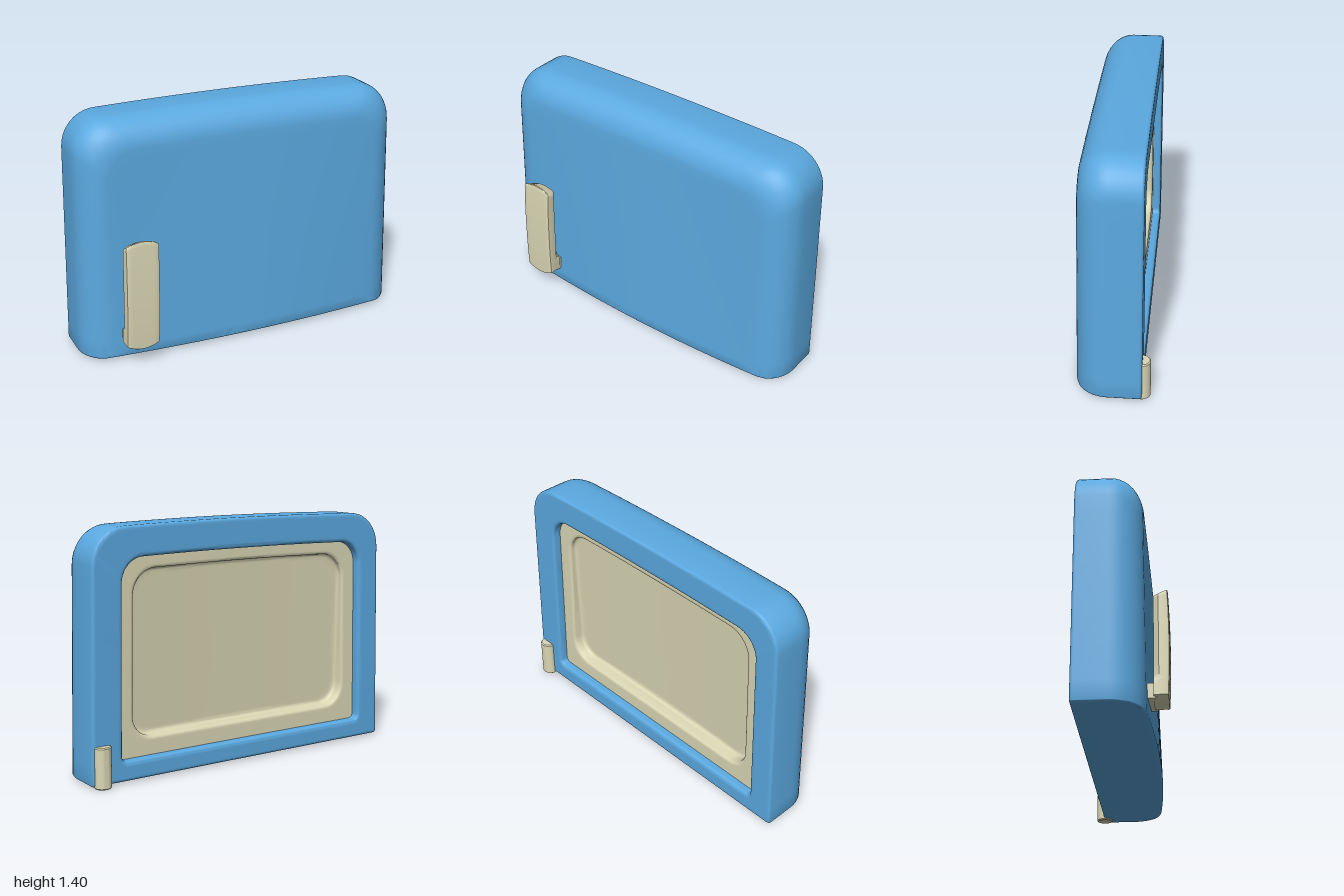
import * as THREE from 'three';
import { toCreasedNormals } from 'three/addons/utils/BufferGeometryUtils.js';

const blue = new THREE.MeshStandardMaterial({ color: 0x5ba9e0 });
const cream = new THREE.MeshStandardMaterial({ color: 0xdad7b5 });

// Rounded outline, counter-clockwise from the bottom left; always the same point count.
function outline(w, bottom, top, r, rb, cx = 0) {
  const pts = [];
  const line = (x0, y0, x1, y1, n) => {
    for (let i = 0; i < n; i++) pts.push([x0 + (x1 - x0) * i / n, y0 + (y1 - y0) * i / n]);
  };
  const arc = (ax, ay, rad, start) => {
    for (let i = 0; i < 10; i++) {
      const a = start + (i / 10) * Math.PI / 2;
      pts.push([ax + rad * Math.cos(a), ay + rad * Math.sin(a)]);
    }
  };
  line(-w + rb, bottom, w - rb, bottom, 20);
  arc(w - rb, bottom + rb, rb, -Math.PI / 2);
  line(w, bottom + rb, w, top - r, 12);
  arc(w - r, top - r, r, 0);
  line(w - r, top, -w + r, top, 20);
  arc(-w + r, top - r, r, Math.PI / 2);
  line(-w, top - r, -w, bottom + rb, 12);
  arc(-w + rb, bottom + rb, rb, Math.PI);
  // Sides lean in and the top edge arches slightly.
  return pts.map(([x, y]) => [
    cx + x * (1 - 0.021 * y),
    y + 0.012 * (y / 1.4) * (1 - Math.min(1, x * x / 0.64)),
  ]);
}

const ring = (pts, zRule) => pts.map(([x, y]) => [x, y, typeof zRule === 'function' ? zRule(x, y) : zRule]);
const shrink = (pts, s) => pts.map(([x, y]) => [x * s, 0.7 + (y - 0.7) * s]);

// Skin a list of equal-length closed rings.
function loft(rings, crease) {
  const n = rings[0].length;
  const index = [];
  for (let i = 0; i < rings.length - 1; i++) {
    for (let j = 0; j < n; j++) {
      const a = i * n + j, b = i * n + (j + 1) % n;
      index.push(a, b, b + n, a, b + n, a + n);
    }
  }
  const g = new THREE.BufferGeometry();
  g.setAttribute('position', new THREE.Float32BufferAttribute(rings.flat(2), 3));
  g.setIndex(index);
  return toCreasedNormals(g, crease);
}

function part(name, geometry, material) {
  const m = new THREE.Mesh(geometry, material);
  m.name = name;
  return m;
}

const OPENING_X = -0.016;

// Outer shell: recess wall, flat back frame, rounded sides and bowed front.
function shell() {
  const BACK = -0.22, Z0 = -0.035, R = 0.163;
  const front = (x, y) => 0.132 + Math.max(0, 1.3 - y) / 1.3 * (0.008 + 0.044 * Math.max(0, 1 - x * x / 0.8));
  const rings = [];
  const opening = (e) => outline(0.83 + e, 0.12 - e, 1.218 + e, 0.13 + e, 0.03 + e, OPENING_X);
  rings.push(ring(opening(0), -0.15));
  for (let i = 0; i <= 4; i++) {
    const a = (i / 4) * Math.PI / 2;
    rings.push(ring(opening(0.02 * (1 - Math.cos(a))), BACK + 0.02 * (1 - Math.sin(a))));
  }
  rings.push(ring(opening(0.03), BACK));
  rings.push(ring(outline(0.975, 0.033, 1.363, 0.19, 0.015), BACK));
  for (let i = 0; i <= 3; i++) {
    const a = (i / 3) * Math.PI / 2, e = 0.015 * (1 - Math.sin(a));
    rings.push(ring(outline(1 - e, 0.01 + e, 1.388 - e, 0.2, 0.015), BACK + 0.015 * (1 - Math.cos(a))));
  }
  let last;
  for (let i = 0; i <= 10; i++) {
    const a = (i / 10) * Math.PI / 2, e = R * (1 - Math.cos(a));
    const lift = 0.012 * Math.max(0, (i - 7) / 3);
    last = outline(1 - e, 0.01 + lift, 1.388 - e, 0.2 - e * 0.3, 0.015);
    rings.push(ring(last, (x, y) => Z0 + (front(x, y) - Z0) * Math.sin(a)));
  }
  for (let i = 11; i >= 0; i--) rings.push(ring(shrink(last, i / 12), front));
  return loft(rings, 0.6);
}

// Inner lining: flat rim around a rounded pocket that gets shallower towards the top.
function lining() {
  const RIM = -0.17;
  const rings = [];
  const floor = (x, y) => -0.1 - 0.038 * (y - 0.2) + 0.01 * (1 - x * x / 0.55);
  const wall = (t) => (x, y) => floor(x, y) + (RIM - floor(x, y)) * t;
  const pocket = (e) => outline(0.755 - e, 0.205 + e, 1.165 - e, 0.15 - e * 0.5, 0.14 - e * 0.5, OPENING_X);
  const base = pocket(0.04);
  for (const s of [0, 0.25, 0.5, 0.75, 0.97, 1]) rings.push(ring(shrink(base, s), floor));
  for (let i = 1; i <= 5; i++) {
    const a = (i / 5) * Math.PI / 2;
    rings.push(ring(pocket(0.018 + 0.022 * (1 - Math.sin(a))), wall(0.3 * (1 - Math.cos(a)))));
  }
  for (let i = 0; i <= 5; i++) {
    const a = (i / 5) * Math.PI / 2;
    rings.push(ring(pocket(0.018 * Math.cos(a)), wall(0.75 + 0.25 * Math.sin(a))));
  }
  rings.push(ring(pocket(-0.01), RIM));
  rings.push(ring(outline(0.845, 0.105, 1.233, 0.145, 0.045, OPENING_X), RIM));
  return loft(rings, 0.6);
}

// Lever handle bar: cross-sections stacked upwards, back edges pinched into a grip, ends bowed.
function handleBar() {
  const N = 8, W = 0.097;
  const smooth = THREE.MathUtils.smoothstep;
  const section = (y, inset, scale = 1) => {
    const k = (y - 0.42) / 0.325;
    const zf = 0.264 - 0.008 * k * k - inset;
    const zb = 0.18 + inset;
    const pinch = 0.026 * smooth(y, 0.19, 0.24);
    const w = W - inset, pts = [];
    for (let i = 0; i <= N; i++) pts.push([(w - 0.012) * (2 * i / N - 1), zf]);
    pts.push([w - 0.003, zf - 0.004], [w, zf - 0.014], [w, zb + 0.027]);
    for (let i = 0; i <= N; i++) pts.push([(w - pinch) * (1 - 2 * i / N), zb]);
    pts.push([-w, zb + 0.027], [-w, zf - 0.014], [-w + 0.003, zf - 0.004]);
    const zc = (zf + zb) / 2;
    return pts.map(([px, pz]) => {
      const x = px * scale, z = zc + (pz - zc) * scale, u = x / W;
      const slope = 0.03 * smooth(y, 0.6, 0.745) * (zf - z) / (zf - zb);
      return [x - 0.692 + 0.018 * (y - 0.42), y - 0.028 * u * u * k * k * k - slope, z];
    });
  };
  const rings = [section(0.093, 0.006, 0), section(0.093, 0.006, 0.5), section(0.093, 0.006)];
  for (const y of [0.097, 0.106, 0.15, 0.19, 0.21, 0.225, 0.24, 0.33, 0.42, 0.51, 0.6, 0.65, 0.69, 0.72, 0.738]) rings.push(section(y, 0));
  rings.push(section(0.745, 0.002), section(0.748, 0.006), section(0.748, 0.006, 0.5), section(0.748, 0.006, 0));
  return loft(rings, 0.6);
}

// Hinge pin with softened ends.
function hingePin() {
  const r = 0.049, h = 0.23, b = 0.006;
  const profile = [[0, 0], [r - b, 0], [r, b], [r, h - b], [r - b, h], [0, h]].map(([x, y]) => new THREE.Vector2(x, y));
  const g = toCreasedNormals(new THREE.LatheGeometry(profile, 32), 0.6);
  return g.translate(0.935, 0, -0.216);
}

export function createModel() {
  const group = new THREE.Group();
  group.name = 'doorPanel';
  const foot = new THREE.BoxGeometry(0.18, 0.08, 0.08).translate(-0.696, 0.15, 0.155);
  const handle = new THREE.Group();
  handle.name = 'handle';
  handle.add(part('handleBar', handleBar(), cream), part('handleFoot', foot, cream));
  group.add(
    part('shell', shell(), blue),
    part('lining', lining(), cream),
    handle,
    part('hingePin', hingePin(), cream),
  );
  return group;
}
